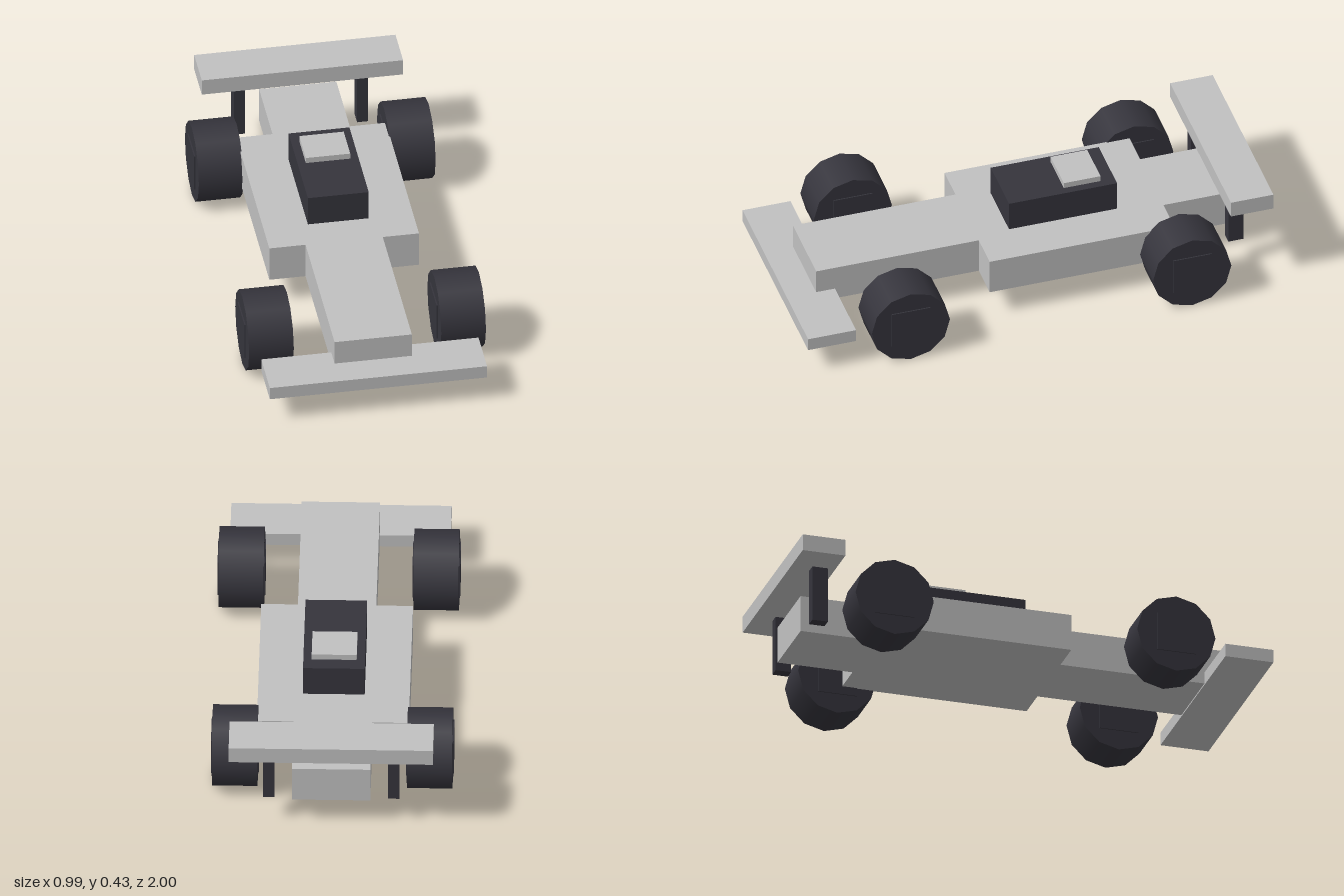
import * as THREE from 'three';

export function createModel() {
  const model = new THREE.Group();
  model.name = 'raceCar';

  const paint = new THREE.MeshStandardMaterial({ color: 0xc0c0c0 });
  paint.name = 'light grey paint';
  const rubber = new THREE.MeshStandardMaterial({ color: 0x35343c });
  rubber.name = 'dark rubber';

  const add = (name, geometry, material) => {
    const mesh = new THREE.Mesh(geometry, material);
    mesh.name = name;
    model.add(mesh);
    return mesh;
  };
  // Box given by its limits along each axis
  const box = (name, material, [x0, x1], [y0, y1], [z0, z1]) =>
    add(name, new THREE.BoxGeometry(x1 - x0, y1 - y0, z1 - z0), material)
      .position.set((x0 + x1) / 2, (y0 + y1) / 2, (z0 + z1) / 2);

  // Body: plan outline with wide side pods, extruded upwards
  const half = [[0.16, 0.875], [0.16, 0.18], [0.31, 0.18], [0.31, -0.61], [0.16, -0.61], [0.16, -0.93]];
  const outline = [...half, ...half.map(([x, z]) => [-x, z]).reverse()];
  const plan = new THREE.Shape(outline.map(([x, z]) => new THREE.Vector2(x, -z)));
  const bodyGeometry = new THREE.ExtrudeGeometry(plan, { depth: 0.157, bevelEnabled: false });
  bodyGeometry.rotateX(-Math.PI / 2);
  add('body', bodyGeometry, paint).position.y = 0.12;

  // Cockpit and its top plate
  box('cockpit', rubber, [-0.126, 0.126], [0.277, 0.408], [-0.422, 0.04]);
  box('cockpitTop', paint, [-0.092, 0.092], [0.408, 0.433], [-0.362, -0.205]);

  // Wings
  box('frontWing', paint, [-0.45, 0.45], [0.114, 0.17], [0.795, 1]);
  box('rearWing', paint, [-0.417, 0.417], [0.36, 0.431], [-1, -0.818]);

  // Wing posts and wheels, mirrored left and right
  const tyre = new THREE.CylinderGeometry(0.167, 0.167, 0.185, 12);
  tyre.rotateZ(Math.PI / 2);
  const hub = new THREE.BoxGeometry(0.195, 0.165, 0.165);
  for (const [side, label] of [[1, 'Left'], [-1, 'Right']]) {
    const x = side * 0.255;
    box('wingPost' + label, rubber, [x - 0.023, x + 0.023], [0.12, 0.36], [-0.916, -0.85]);
    for (const [z, end] of [[0.573, 'front'], [-0.63, 'rear']]) {
      add(end + 'Wheel' + label, tyre, rubber).position.set(side * 0.398, 0.167, z);
      add(end + 'Hub' + label, hub, rubber).position.set(side * 0.398, 0.167, z);
    }
  }
  return model;
}
